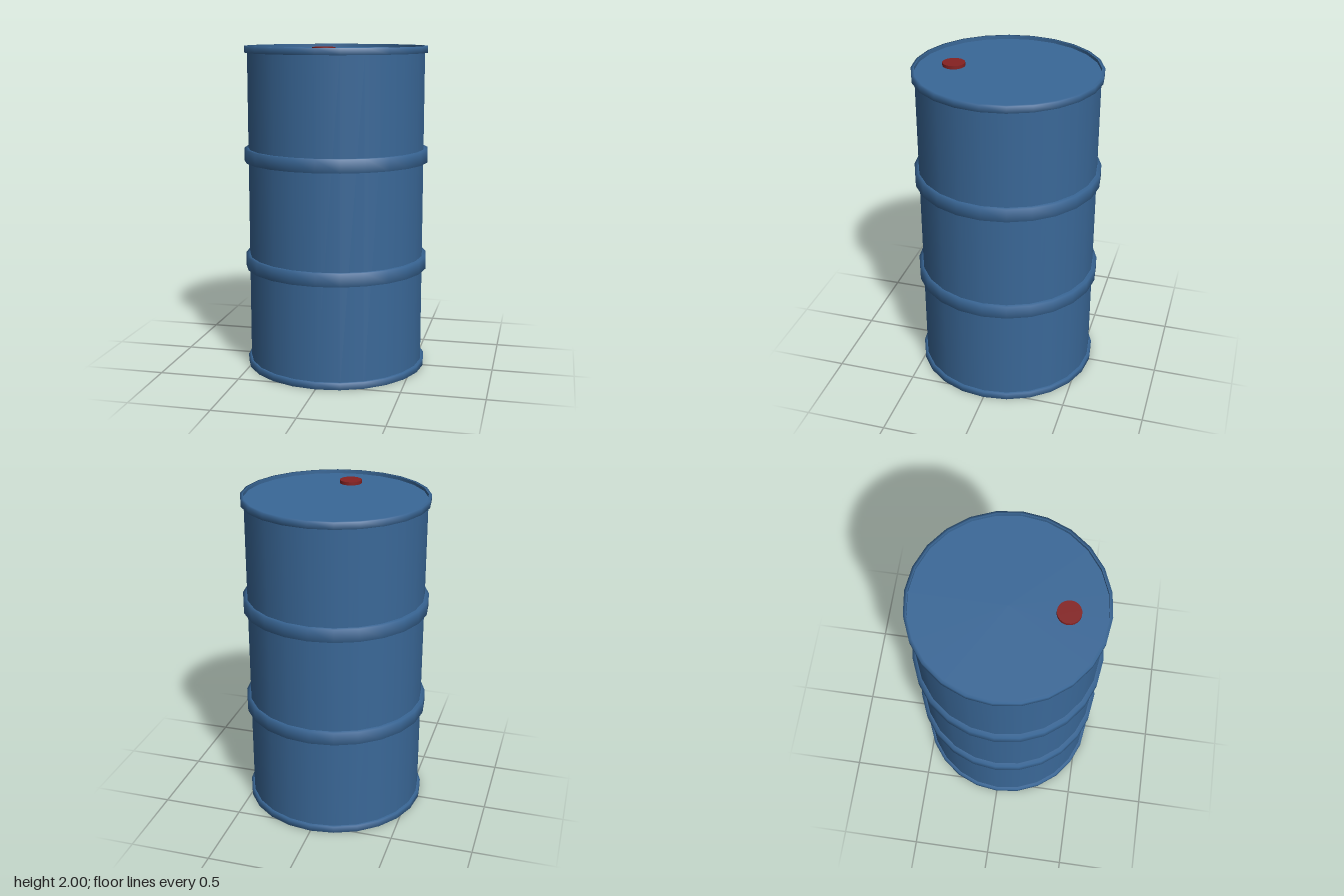
import * as THREE from 'three';

const SIDES = 24;
const BODY_R = 0.545;
const LID_Y = 1.98;

// Square-section band around the drum, with softly shaded corners
function band(name, y0, y1, outer, inner, material) {
  const profile = [[inner, y0], [outer, y0], [outer, y1], [inner, y1]];
  const points = profile.map(([r, y]) => new THREE.Vector2(r, y));
  const mesh = new THREE.Mesh(new THREE.LatheGeometry(points, SIDES), material);
  mesh.name = name;
  return mesh;
}

export function createModel() {
  const model = new THREE.Group();
  model.name = 'drum';

  const blue = new THREE.MeshStandardMaterial({ color: 0x3a6898 });
  blue.name = 'drum blue';
  const red = new THREE.MeshStandardMaterial({ color: 0x852222 });
  red.name = 'cap red';

  // Drum body, its top forming the slightly sunken lid
  const body = new THREE.Mesh(new THREE.CylinderGeometry(BODY_R, BODY_R, LID_Y, SIDES), blue);
  body.name = 'body';
  body.position.y = LID_Y / 2;
  model.add(body);

  // End rims
  model.add(band('bottomRim', 0, 0.04, 0.563, BODY_R, blue));
  model.add(band('topRim', 1.96, 2, 0.563, BODY_R, blue));

  // Inner wall of the top rim, above the lid
  const lip = new THREE.Mesh(
    new THREE.LatheGeometry([new THREE.Vector2(BODY_R, 2), new THREE.Vector2(BODY_R, LID_Y)], SIDES),
    blue
  );
  lip.name = 'topRimInnerWall';
  model.add(lip);

  // Rolling hoops
  [['lowerHoop', 0.67], ['upperHoop', 1.337]].forEach(([name, y]) => {
    model.add(band(name, y - 0.04, y + 0.04, 0.57, 0.54, blue));
  });

  // Filler cap
  const cap = new THREE.Mesh(new THREE.CylinderGeometry(0.068, 0.068, 0.03, SIDES), red);
  cap.name = 'fillerCap';
  cap.position.set(0, 1.985, 0.33);
  model.add(cap);

  return model;
}
